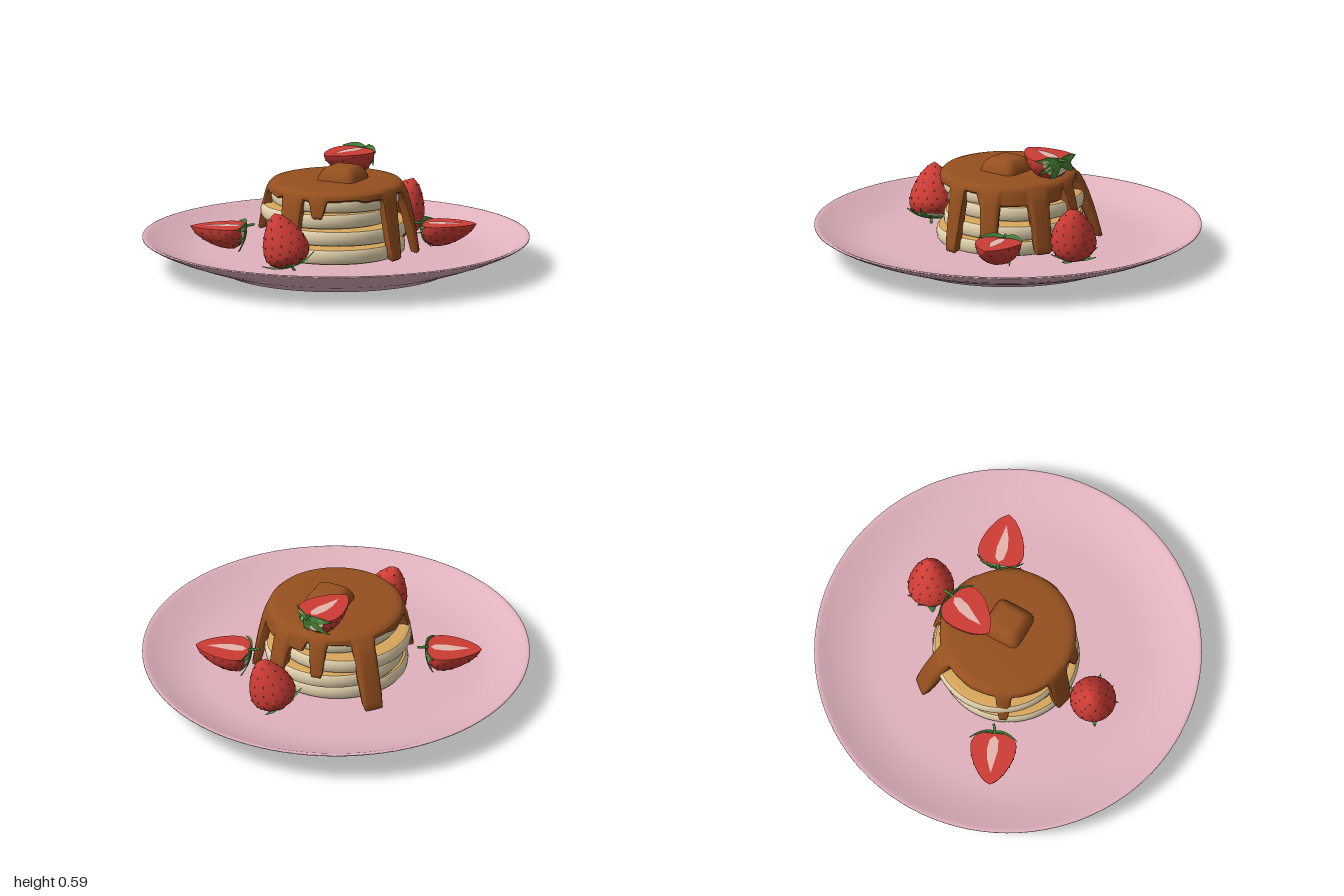
import * as THREE from 'three';
import { mergeGeometries } from 'three/addons/utils/BufferGeometryUtils.js';

const mat = (name, color, side = THREE.FrontSide) => {
  const m = new THREE.MeshStandardMaterial({ color, side });
  m.name = name;
  return m;
};
const V2 = (a) => a.map(([x, y]) => new THREE.Vector2(x, y));
const V3 = (a) => new THREE.Vector3(...a);

export function createModel() {
  const M = {
    plate: mat('pink ceramic', 0xe0b2bd),
    side: mat('pancake cream', 0xe6d5b0),
    crust: mat('pancake golden', 0xd8a75c),
    syrup: mat('brown syrup', 0x96501f),
    red: mat('berry red', 0xcd3c35),
    pale: mat('berry pale base', 0xe6dcb4),
    core: mat('berry core', 0xe5b5ae),
    seed: mat('seed brown', 0x94602c),
    leaf: mat('leaf green', 0x4c8a3c, THREE.DoubleSide),
  };
  const root = new THREE.Group();
  const add = (parent, name, geo, material) => {
    const m = new THREE.Mesh(geo, material);
    m.name = name;
    parent.add(m);
    return m;
  };

  // Plate: foot ring, sloping underside, rounded rim, shallow well
  add(root, 'plate', new THREE.LatheGeometry(V2([
    [0, 0.022], [0.5, 0.022], [0.535, 0.018], [0.555, 0.004], [0.57, 0], [0.59, 0.001], [0.61, 0.012],
    [0.65, 0.029], [0.72, 0.05], [0.8, 0.077], [0.88, 0.106], [0.95, 0.136], [0.985, 0.154],
    [0.999, 0.163], [0.999, 0.168], [0.99, 0.17], [0.975, 0.166], [0.95, 0.154], [0.9, 0.133],
    [0.84, 0.112], [0.78, 0.097], [0.72, 0.089], [0.66, 0.087], [0, 0.087],
  ]), 96), M.plate);

  // Pancakes: golden faces around a cream edge
  const stack = new THREE.Group();
  stack.name = 'pancakeStack';
  root.add(stack);
  [[-0.01, 0, 0.365], [0.025, -0.02, 0.36], [-0.01, -0.05, 0.352], [0, 0, 0.335]].forEach(([x, z, r], i) => {
    const cake = new THREE.Group();
    cake.name = 'pancake' + (i + 1);
    cake.position.set(x, 0.089 + i * 0.088, z);
    stack.add(cake);
    const lathe = (name, pts, m) => add(cake, name, new THREE.LatheGeometry(V2(pts), 64), m);
    lathe('bottomCrust', [[0, 0], [r - 0.035, 0], [r - 0.012, 0.008]], M.crust);
    lathe('creamEdge', [[r - 0.012, 0.008], [r - 0.003, 0.02], [r, 0.044], [r - 0.003, 0.068], [r - 0.012, 0.08]], M.side);
    lathe('topCrust', [[r - 0.012, 0.08], [r - 0.035, 0.088], [0, 0.088]], M.crust);
  });

  // Syrup sheet with drips: [angle, half width, lowest y, end radius]
  const drips = [
    [-77, 8, 0.095, 0.49], [-143, 5, 0.22, 0.4], [166, 9, 0.13, 0.4], [141, 6, 0.34, 0.375],
    [73, 7, 0.1, 0.4], [39, 7, 0.1, 0.43], [-2, 8, 0.12, 0.425], [12, 38, 0.37, 0.365], [-38, 6, 0.25, 0.4],
  ];
  const columns = 270, pos = [], index = [];
  for (let j = 0; j < columns; j++) {
    const deg = (j / columns) * 360, a = THREE.MathUtils.degToRad(deg);
    let low = 0.425 + 0.008 * Math.sin(a * 7) + 0.004 * Math.sin(a * 17), end = 0.352;
    for (const [c, half, y, r] of drips) {
      const off = Math.abs(((deg - c + 540) % 360) - 180);
      const w = 1 - THREE.MathUtils.smoothstep(off, half - 2.5, half + 2.5);
      low = Math.min(low, THREE.MathUtils.lerp(0.43, y, w));
      end = Math.max(end, THREE.MathUtils.lerp(0.352, r, w));
    }
    const profile = [[0, 0.475], [0.15, 0.475], [0.27, 0.473], [0.31, 0.47], [0.333, 0.464], [0.345, 0.452]];
    for (let k = 1; k <= 10; k++) {
      const t = k / 10;
      profile.push([0.345 + (end - 0.345) * t ** 0.6, 0.452 + (low - 0.452) * t]);
    }
    profile.push([end - 0.012, low - 0.008], [end - 0.04, low], [0.31, 0.44]);
    const rows = profile.length;
    for (const [r, y] of profile) pos.push(r * Math.cos(a), y, r * Math.sin(a));
    for (let i = 0; i < rows - 1; i++) {
      const p = j * rows + i, q = ((j + 1) % columns) * rows + i;
      index.push(p, q, p + 1, q, q + 1, p + 1);
    }
  }
  const syrup = new THREE.BufferGeometry();
  syrup.setAttribute('position', new THREE.Float32BufferAttribute(pos, 3));
  syrup.setIndex(index);
  syrup.computeVertexNormals();
  add(root, 'syrup', syrup, M.syrup);

  // Butter pat under the syrup: soft square that flares at its foot
  const pat = new THREE.SphereGeometry(1, 40, 24);
  const pp = pat.attributes.position;
  for (let i = 0; i < pp.count; i++) {
    const x = pp.getX(i), y = pp.getY(i), z = pp.getZ(i);
    const squareNorm = (x ** 6 + z ** 6) ** (1 / 6) || 1;
    const width = y > 0 ? 0.088 + 0.022 * (1 - y) ** 2 : 0.11;
    const s = (Math.hypot(x, z) ** 0.4 * width) / squareNorm;
    const height = Math.sign(y) * Math.abs(y) ** 0.6 * (y > 0 ? 0.075 : 0.02);
    pp.setXYZ(i, x * s, height, z * s);
  }
  pat.computeVertexNormals();
  const butter = add(root, 'coatedButter', pat, M.syrup);
  butter.position.set(0.03, 0.47, 0.02);
  butter.rotation.y = 0.47;

  // Strawberry, base at the origin and tip along +y; a half is cut at z = 0
  const skin = new THREE.SplineCurve(V2([
    [0.09, 0.012], [0.114, 0.045], [0.118, 0.085], [0.106, 0.14], [0.078, 0.2], [0.04, 0.252], [0, 0.28],
  ])).getPoints(24);
  skin[24].x = 0;
  const leafGeometry = () => {
    const g = new THREE.PlaneGeometry(1, 1, 2, 7), q = g.attributes.position;
    for (let i = 0; i < q.count; i++) {
      const t = q.getY(i) + 0.5, s = q.getX(i);
      const width = 0.044 * Math.sin(Math.PI * (0.12 + 0.88 * t));
      q.setXYZ(i, s * width, -0.008 + 0.045 * t * t - Math.abs(s) * 0.012, 0.005 + 0.137 * t);
    }
    g.computeVertexNormals();
    return g;
  };
  function strawberry(name, half) {
    const g = new THREE.Group();
    g.name = name;
    root.add(g);
    const start = half ? Math.PI / 2 : 0, sweep = half ? Math.PI : Math.PI * 2;
    add(g, 'skin', new THREE.LatheGeometry(skin, 36, start, sweep), M.red);
    add(g, 'paleBase', new THREE.LatheGeometry(V2([[0, 0], [0.06, 0], [0.09, 0.012]]), 36, start, sweep), M.pale);

    const seeds = [];
    for (let row = 2; row < 23; row += 3) {
      const { x: r, y } = skin[row], n = Math.max(4, Math.round(r * 120));
      for (let k = 0; k < n; k++) {
        const a = ((k + (row % 2) / 2) / n) * Math.PI * 2;
        if (half && Math.cos(a) > -0.08) continue;
        seeds.push(new THREE.SphereGeometry(1, 6, 4).scale(0.0035, 0.006, 0.003)
          .translate(0, y, r).rotateY(a));
      }
    }
    add(g, 'seeds', mergeGeometries(seeds), M.seed);

    const count = half ? 6 : 9, leaves = [];
    for (let k = 0; k < count; k++) {
      const a = start + (k / (half ? count - 1 : count)) * sweep;
      const s = 0.9 + 0.12 * Math.sin(k * 2.4);
      leaves.push(leafGeometry().scale(1, 1, s).rotateY(a));
    }
    add(g, 'leaves', mergeGeometries(leaves), M.leaf);
    const stemPath = new THREE.QuadraticBezierCurve3(V3([0, 0.005, 0]), V3([0, -0.025, 0]), V3([0.012, -0.05, 0.004]));
    add(g, 'stem', new THREE.TubeGeometry(stemPath, 6, 0.007, 8), M.leaf);

    if (half) {
      const outline = [...skin, ...skin.slice(0, -1).reverse().map((v) => new THREE.Vector2(-v.x, v.y))];
      outline.push(new THREE.Vector2(-0.06, 0), new THREE.Vector2(0.06, 0));
      add(g, 'cutFace', new THREE.ShapeGeometry(new THREE.Shape(outline)), M.red);
      const core = new THREE.Shape(V2([[0, 0.015], [0.022, 0.035], [0.032, 0.09], [0.024, 0.15], [0, 0.22],
        [-0.014, 0.15], [-0.026, 0.09], [-0.022, 0.035]]));
      add(g, 'core', new THREE.ShapeGeometry(core), M.core).position.z = 0.003;
    }
    return g;
  }

  // Whole berries stand on their leaves: base, tip
  [['rightBerry', [0.49, 0.12, -0.15], [0.57, 0.385, -0.11]],
    ['leftBerry', [-0.45, 0.12, 0.23], [-0.52, 0.39, 0.18]]].forEach(([name, base, tip]) => {
    const b = strawberry(name, false);
    b.position.set(...base);
    b.quaternion.setFromUnitVectors(V3([0, 1, 0]), V3(tip).sub(V3(base)).normalize());
  });

  // Halved berries lie cut side up: base, tip
  [['frontHalfBerry', [0.405, 0.225, 0.205], [0.6, 0.23, 0.4]],
    ['backHalfBerry', [-0.355, 0.215, -0.315], [-0.565, 0.21, -0.485]],
    ['topHalfBerry', [0.288, 0.572, -0.155], [0.01, 0.572, -0.11]]].forEach(([name, base, tip]) => {
    const b = strawberry(name, true);
    const y = V3(tip).sub(V3(base)).normalize();
    const x = new THREE.Vector3().crossVectors(y, V3([0, 1, 0])).normalize();
    const z = new THREE.Vector3().crossVectors(x, y);
    b.quaternion.setFromRotationMatrix(new THREE.Matrix4().makeBasis(x, y, z));
    b.position.set(...base);
  });

  return root;
}
